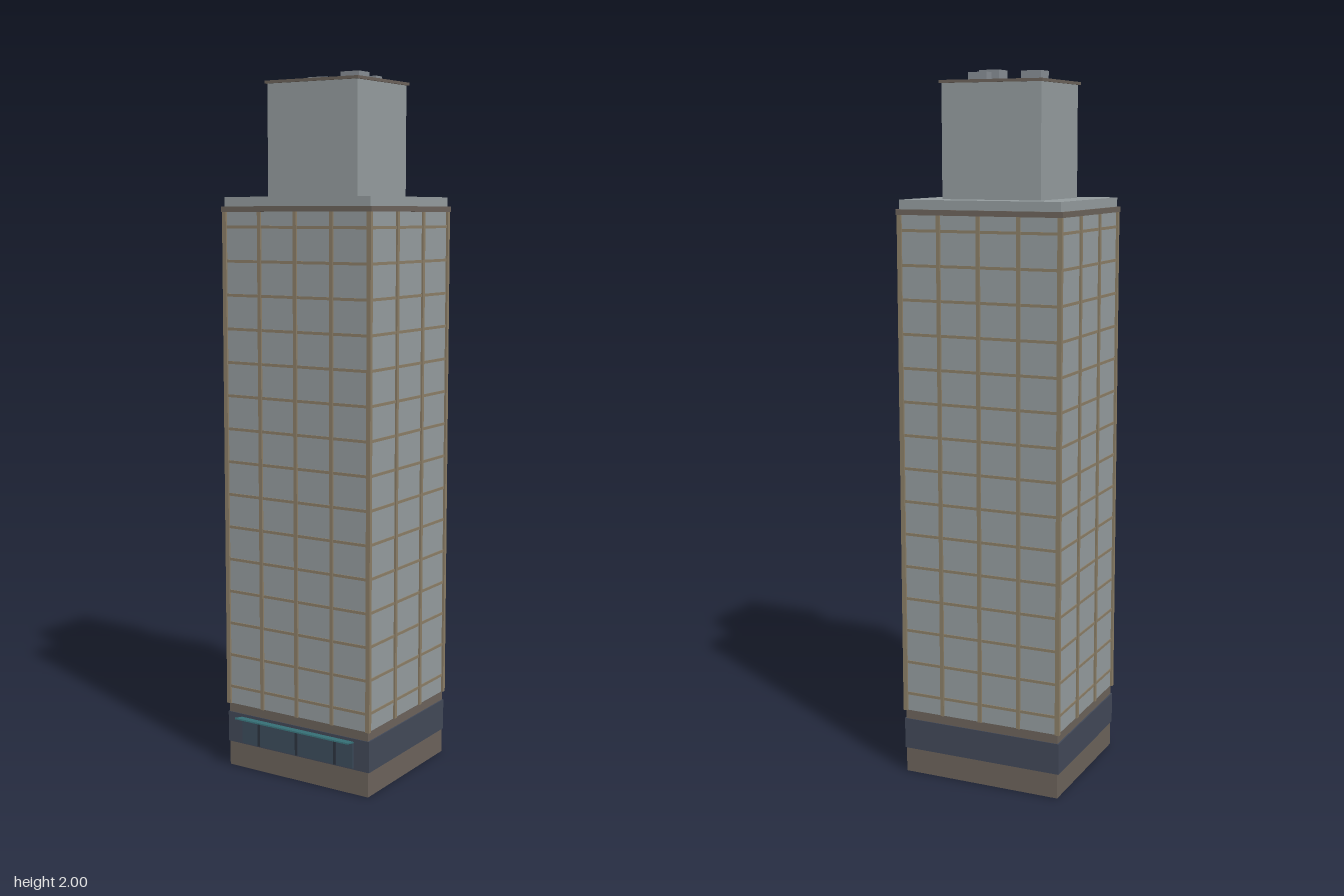
import * as THREE from 'three';

const mat = (color) => new THREE.MeshStandardMaterial({ color, flatShading: true });

export function createModel() {
  const model = new THREE.Group();
  model.name = 'officeTower';

  const wall = mat(0x939b9d);
  const stone = mat(0x6b625a);
  const bronze = mat(0x8a7d66);
  const band = mat(0x414857);
  const glass = mat(0x3c4c5c);
  const dark = mat(0x2c333f);
  const teal = mat(0x367077);
  const metal = mat(0x868c92);

  const CZ = -0.0165; // depth centre of the tower
  const W = 0.474, D = 0.426;

  // Box given by its centre in plan, its bottom and top heights, and its footprint
  function block(name, material, x, z, y0, y1, w, d, parent = model) {
    const mesh = new THREE.Mesh(new THREE.BoxGeometry(w, y1 - y0, d), material);
    mesh.position.set(x, (y0 + y1) / 2, z);
    mesh.name = name;
    parent.add(mesh);
    return mesh;
  }

  // Podium
  block('plinth', stone, 0, CZ, 0, 0.072, W, D);
  block('lobbyBand', band, 0, CZ, 0.072, 0.162, W + 0.008, D + 0.004);
  block('podiumCornice', stone, 0, CZ, 0.162, 0.188, W, D);

  // Entrance on the front
  const front = CZ + D / 2 + 0.002;
  block('lobbyGlass', glass, 0, front, 0.076, 0.15, 0.38, 0.006);
  for (const x of [-0.13, 0, 0.13]) {
    block('lobbyPost', dark, x, front + 0.001, 0.076, 0.15, 0.008, 0.007);
  }
  const canopy = block('canopy', teal, 0, 0.217, 0.153, 0.157, 0.384, 0.036);
  canopy.rotation.x = -0.2;

  // Shaft
  const y0 = 0.188, y1 = 1.615;
  block('shaft', wall, 0, CZ, y0, y1, W, D);

  // Floor lines around the shaft
  const floors = new THREE.Group();
  floors.name = 'floorLines';
  model.add(floors);
  for (let i = 0; i < 15; i++) {
    const y = 0.24 + i * 0.095;
    block('floorLine', bronze, 0, CZ, y - 0.004, y + 0.004, W + 0.005, D + 0.005, floors);
  }

  // Vertical mullions: four bays front and back, three bays on the sides
  const mullions = new THREE.Group();
  mullions.name = 'mullions';
  model.add(mullions);
  for (const s of [-1, 1]) {
    for (let i = 1; i < 4; i++) {
      block('mullion', bronze, (i / 4 - 0.5) * W, CZ + s * D / 2, y0, y1, 0.011, 0.011, mullions);
    }
    for (let i = 1; i < 3; i++) {
      block('mullion', bronze, s * W / 2, CZ + (i / 3 - 0.5) * D, y0, y1, 0.011, 0.011, mullions);
    }
    for (const t of [-1, 1]) {
      block('cornerPost', bronze, s * W / 2, CZ + t * D / 2, y0, y1, 0.013, 0.011, mullions);
    }
  }

  // Setback roof
  block('shaftCornice', stone, 0, CZ, 1.612, 1.627, 0.492, 0.438);
  block('setbackRoof', wall, 0, CZ, 1.627, 1.653, W + 0.002, D);

  // Penthouse and its roof
  block('penthouse', wall, 0, CZ, 1.653, 1.964, 0.294, 0.262);
  block('penthouseRoof', stone, 0, CZ, 1.964, 1.972, 0.306, 0.275);

  // Rooftop plant: x, z, width, depth, top
  for (const [x, z, w, d, top] of [
    [-0.104, -0.091, 0.059, 0.052, 1.994],
    [0.044, -0.122, 0.056, 0.032, 1.992],
    [0.036, -0.052, 0.06, 0.057, 2],
  ]) {
    block('rooftopUnit', metal, x, z, 1.972, top, w, d);
  }

  return model;
}
